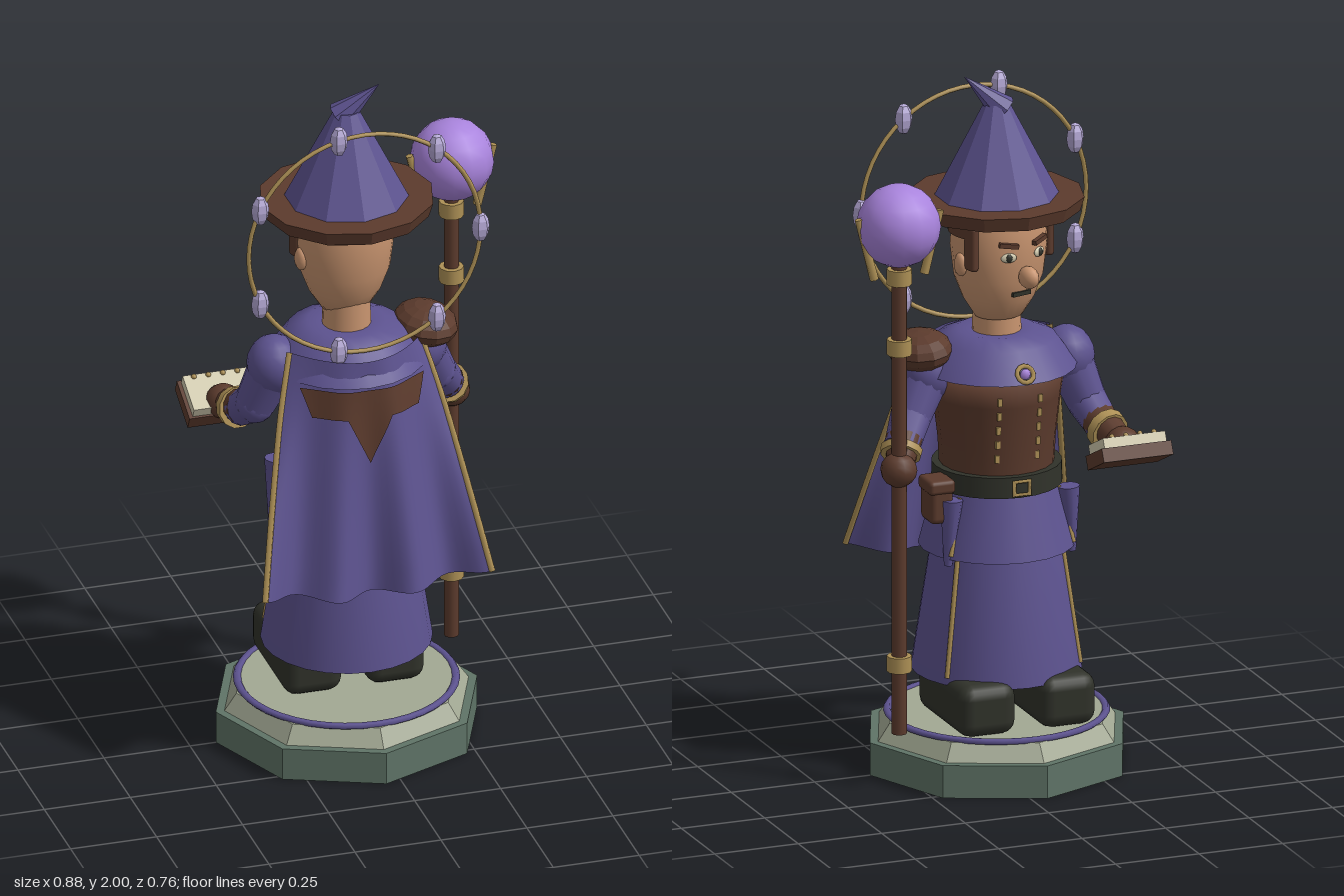
import * as THREE from 'three';
import { RoundedBoxGeometry } from 'three/addons/geometries/RoundedBoxGeometry.js';

const CX = -0.045; // axis of the figure and plinth
const V = (x, y, z) => new THREE.Vector3(x, y, z);
const lerp = THREE.MathUtils.lerp;

export function createModel() {
  const root = new THREE.Group();
  const mat = (name, color, side = THREE.FrontSide) => {
    const m = new THREE.MeshStandardMaterial({ color, side });
    m.name = name;
    return m;
  };
  const cloth = mat('purple cloth', 0x5d5390, THREE.DoubleSide);
  const crystal = mat('violet crystal', 0xa984dd);
  const bead = mat('pale lavender', 0xb5a9d6);
  const leather = mat('brown leather', 0x5c3b2d, THREE.DoubleSide);
  const gold = mat('gold', 0xae9156);
  const skin = mat('skin', 0xc8946f);
  const stone = mat('green stone', 0x5f7467);
  const slab = mat('pale stone', 0xa2a893);
  const dark = mat('dark leather', 0x30322a);
  const paper = mat('paper', 0xd3ccb0);

  // ---- helpers ----
  const add = (name, geo, material, x = 0, y = 0, z = 0, parent = root) => {
    const m = new THREE.Mesh(geo, material);
    m.name = name;
    m.position.set(x, y, z);
    parent.add(m);
    return m;
  };
  const flat = (geo) => {
    const g = geo.index ? geo.toNonIndexed() : geo;
    g.computeVertexNormals();
    return g;
  };
  const frustum = (top, bottom, h, n, open = false) => new THREE.CylinderGeometry(top, bottom, h, n, 1, open);
  const ball = (rx, ry, rz, n = 16, k = 10) => new THREE.SphereGeometry(1, n, k).scale(rx, ry, rz);
  const lathe = (pts, n) => new THREE.LatheGeometry(pts.map((p) => new THREE.Vector2(...p)), n);
  // tapered rod between two points
  const rod = (name, a, b, ra, rb, material, n = 10) => {
    const m = add(name, frustum(rb, ra, a.distanceTo(b), n), material);
    m.position.copy(a).lerp(b, 0.5);
    m.quaternion.setFromUnitVectors(V(0, 1, 0), b.clone().sub(a).normalize());
    return m;
  };
  // grid surface from a function of u, v in 0..1
  const sheet = (nu, nv, fn) => {
    const g = new THREE.PlaneGeometry(1, 1, nu, nv);
    const p = g.attributes.position;
    for (let i = 0; i < p.count; i++) p.setXYZ(i, ...fn(p.getX(i) + 0.5, 0.5 - p.getY(i)));
    g.computeVertexNormals();
    return g;
  };

  // ---- plinth ----
  add('plinthBase', flat(frustum(0.38, 0.38, 0.095, 8)), stone, CX, 0.0475);
  add('plinthStep', flat(frustum(0.32, 0.355, 0.05, 8)), slab, CX, 0.12);
  add('plinthDisc', frustum(0.3, 0.3, 0.01, 32), slab, CX, 0.147);
  add('plinthRing', new THREE.TorusGeometry(0.304, 0.012, 6, 40).rotateX(Math.PI / 2).scale(1, 0.7, 1), cloth, CX, 0.15);

  // ---- boots and robe ----
  for (const s of [-1, 1]) {
    add('boot', new RoundedBoxGeometry(0.17, 0.15, 0.35, 2, 0.04), dark, CX + s * 0.12, 0.227, -0.078);
  }
  add('robe', lathe([[0.14, 0.87], [0.185, 0.64], [0.24, 0.28], [0.225, 0.28], [0, 0.32]], 24), cloth, CX);
  add('overskirt', frustum(0.17, 0.22, 0.19, 20, true), cloth, CX, 0.735);
  for (const s of [-1, 1]) {
    const dir = (r, y) => V(CX + s * r * Math.sin(1), y, -r * Math.cos(1));
    rod('robeTrim', dir(0.237, 0.3), dir(0.188, 0.63), 0.007, 0.007, gold, 6);
    rod('overskirtTrim', dir(0.218, 0.65), dir(0.175, 0.81), 0.007, 0.007, gold, 6);
    // pointed tassels on the hips
    rod('hipTassel', V(CX + s * 0.185, 0.62, -0.1), V(CX + s * 0.175, 0.81, -0.1), 0.012, 0.032, cloth);
  }

  // ---- torso ----
  add('vest', lathe([[0.16, 0.86], [0.165, 0.95], [0.18, 1.08], [0.19, 1.15], [0, 1.17]], 20), leather, CX);
  add('belt', frustum(0.182, 0.184, 0.06, 24), dark, CX, 0.85);
  const buckle = add('buckle', new THREE.TorusGeometry(0.027, 0.007, 4, 4).rotateZ(Math.PI / 4), gold, CX, 0.85, -0.19);
  buckle.scale.x = 1.2;
  for (const s of [-1, 1]) {
    for (let i = 0; i < 5; i++) {
      const y = 0.93 + i * 0.043;
      add('vestStitch', new THREE.BoxGeometry(0.012, 0.022, 0.008), gold, CX + s * 0.06, y, -0.152 - i * 0.006);
    }
  }
  add('pouch', new RoundedBoxGeometry(0.07, 0.125, 0.09, 2, 0.018), leather, 0.16, 0.805, -0.065);
  add('pouchFlap', new RoundedBoxGeometry(0.078, 0.04, 0.098, 2, 0.012), leather, 0.16, 0.85, -0.065);
  add('capelet', lathe([[0.225, 1.16], [0.168, 1.24], [0.11, 1.265], [0.06, 1.26]], 20), cloth, CX);
  add('brooch', new THREE.TorusGeometry(0.024, 0.007, 6, 12), gold, CX, 1.19, -0.215).rotation.x = 0.55;
  add('broochGem', ball(0.016, 0.016, 0.01, 8, 6), crystal, CX, 1.19, -0.215);

  // ---- cape, with folds that deepen toward the hem ----
  const capeZ = (u, v) => lerp(0.08 + 0.12 * (1 - u * u), 0.275, v) - 0.032 * v * Math.cos(3 * Math.PI * u);
  const capeW = (v) => lerp(0.19, 0.33, Math.pow(v, 0.85));
  const capePoint = (u, v) => [CX + u * capeW(v), 1.23 - v * (0.65 + 0.04 * (1 - u * u)), capeZ(u, v)];
  add('cape', sheet(36, 10, (a, v) => capePoint(a * 2 - 1, v)), cloth);
  for (const s of [-1, 1]) {
    const path = [0, 0.25, 0.5, 0.75, 1].map((v) => V(...capePoint(s, v)));
    add('capeTrim', new THREE.TubeGeometry(new THREE.CatmullRomCurve3(path), 16, 0.009, 6), gold);
  }
  // leather yoke with a central point, following the cape
  add('backYoke', sheet(24, 6, (a, t) => {
    const x = (a * 2 - 1) * lerp(0.18, 0.155, t);
    const low = Math.abs(x) < 0.065 ? lerp(0.93, 1.07, Math.abs(x) / 0.065) : 1.07;
    const y = lerp(1.15, low, t);
    const v = (1.23 - y) / 0.69;
    return [CX + x, y, capeZ(x / capeW(v), v) + 0.012];
  }), leather);

  // ---- arms ----
  const arm = (shoulder, elbow, wrist, hand) => {
    add('shoulder', ball(0.078, 0.085, 0.08), cloth, ...shoulder.toArray());
    rod('upperSleeve', shoulder, elbow, 0.07, 0.058, cloth, 12);
    add('elbow', ball(0.058, 0.058, 0.058), cloth, ...elbow.toArray());
    rod('foreSleeve', elbow, wrist, 0.058, 0.05, cloth, 12);
    rod('cuff', elbow.clone().lerp(wrist, 0.75), hand, 0.053, 0.036, leather, 12);
    const b = wrist.clone().lerp(hand, 0.1);
    rod('bracelet', b, b.clone().lerp(hand, 0.3), 0.06, 0.057, gold, 12);
    add('glove', ball(0.052, 0.05, 0.052, 12, 8), leather, ...hand.toArray());
  };
  arm(V(0.165, 1.16, 0), V(0.225, 1.05, -0.035), V(0.275, 0.98, -0.09), V(0.303, 0.93, -0.137));
  arm(V(-0.255, 1.16, 0), V(-0.302, 1.03, -0.03), V(-0.32, 0.975, -0.11), V(-0.338, 0.95, -0.212));
  add('pauldron', flat(ball(0.09, 0.055, 0.112, 12, 8)), leather, 0.183, 1.225, 0.005).rotation.z = -0.1;

  // ---- open book ----
  const book = new THREE.Group();
  book.name = 'book';
  book.position.set(-0.339, 0.945, -0.253);
  book.rotation.x = 0.45;
  root.add(book);
  add('bookCover', new THREE.BoxGeometry(0.208, 0.04, 0.135), leather, 0, -0.015, 0, book);
  add('bookPages', new THREE.BoxGeometry(0.186, 0.036, 0.122), paper, 0, 0.016, 0, book);
  for (let i = 0; i < 4; i++) {
    add('bookStud', ball(0.008, 0.008, 0.008, 8, 6), gold, -0.063 + i * 0.042, 0.036, -0.052, book);
  }

  // ---- head, turned slightly toward the book ----
  const head = new THREE.Group();
  head.name = 'head';
  head.position.set(CX, 0, -0.015);
  head.rotation.y = 0.25;
  root.add(head);
  add('neck', frustum(0.066, 0.07, 0.12, 16), skin, CX, 1.29, 0);
  add('skull', lathe([[0.001, 1.3], [0.07, 1.31], [0.105, 1.365], [0.13, 1.43], [0.141, 1.52], [0.135, 1.6], [0.12, 1.64]], 24)
    .scale(1, 1, 0.9), skin, 0, 0, 0, head);
  add('nose', ball(0.026, 0.032, 0.036, 12, 8), skin, 0, 1.45, -0.142, head);
  // hair band around the back, with sideburns
  add('hair', new THREE.CylinderGeometry(0.146, 0.146, 0.06, 24, 1, true, -1.9, 3.8).scale(1, 1, 0.92), leather, 0, 1.59, 0, head);
  for (const s of [-1, 1]) {
    add('sideburn', new RoundedBoxGeometry(0.024, 0.13, 0.045, 2, 0.01), leather, s * 0.13, 1.535, -0.05, head);
    add('ear', ball(0.016, 0.034, 0.024, 10, 8), skin, s * 0.138, 1.48, -0.01, head);
    const eye = new THREE.Group();
    eye.name = 'eye';
    eye.position.set(s * 0.052, 1.51, -0.119);
    eye.rotation.y = s * -0.36;
    head.add(eye);
    add('eyeWhite', ball(0.023, 0.014, 0.007, 12, 8), paper, 0, 0, 0, eye);
    add('iris', ball(0.01, 0.012, 0.006, 10, 8), dark, 0, 0, -0.004, eye);
    add('brow', new THREE.BoxGeometry(0.056, 0.013, 0.014), leather, 0, 0.036, -0.002, eye).rotation.z = s * 0.15;
  }
  add('mouth', new THREE.BoxGeometry(0.06, 0.012, 0.01), dark, 0, 1.395, -0.107, head);

  // ---- hat with a bent tip ----
  add('hatBrim', flat(frustum(0.247, 0.235, 0.04, 12)), leather, CX, 1.635);
  add('hatCone', flat(frustum(0.036, 0.176, 0.27, 10)), cloth, CX, 1.785);
  const tip = rod('hatTip', V(-0.062, 1.9, -0.008), V(0.042, 1.998, 0.022), 0.042, 0.001, cloth, 8);
  tip.geometry = flat(tip.geometry);

  // ---- floating halo of beads ----
  add('halo', new THREE.TorusGeometry(0.337, 0.007, 6, 56), gold, -0.042, 1.585, 0.163);
  for (let i = 0; i < 7; i++) {
    const a = (i / 7) * Math.PI * 2;
    add('haloBead', flat(ball(0.026, 0.045, 0.026, 6, 6)), bead,
      -0.042 + 0.337 * Math.cos(a), 1.585 + 0.337 * Math.sin(a), 0.163);
  }

  // ---- staff ----
  const SX = 0.302, SZ = -0.138;
  add('staffShaft', frustum(0.021, 0.021, 1.4, 10), leather, SX, 0.86, SZ);
  for (const y of [0.365, 1.29, 1.495]) add('staffBand', frustum(0.035, 0.035, 0.045, 10), gold, SX, y, SZ);
  add('staffOrb', ball(0.118, 0.118, 0.118, 14, 10), crystal, SX + 0.003, 1.645, SZ - 0.003);
  for (const s of [-1, 1]) {
    rod('staffProng', V(SX + s * 0.075, 1.495, SZ), V(SX + s * 0.122, 1.675, SZ), 0.013, 0.011, gold, 6);
  }
  return root;
}
